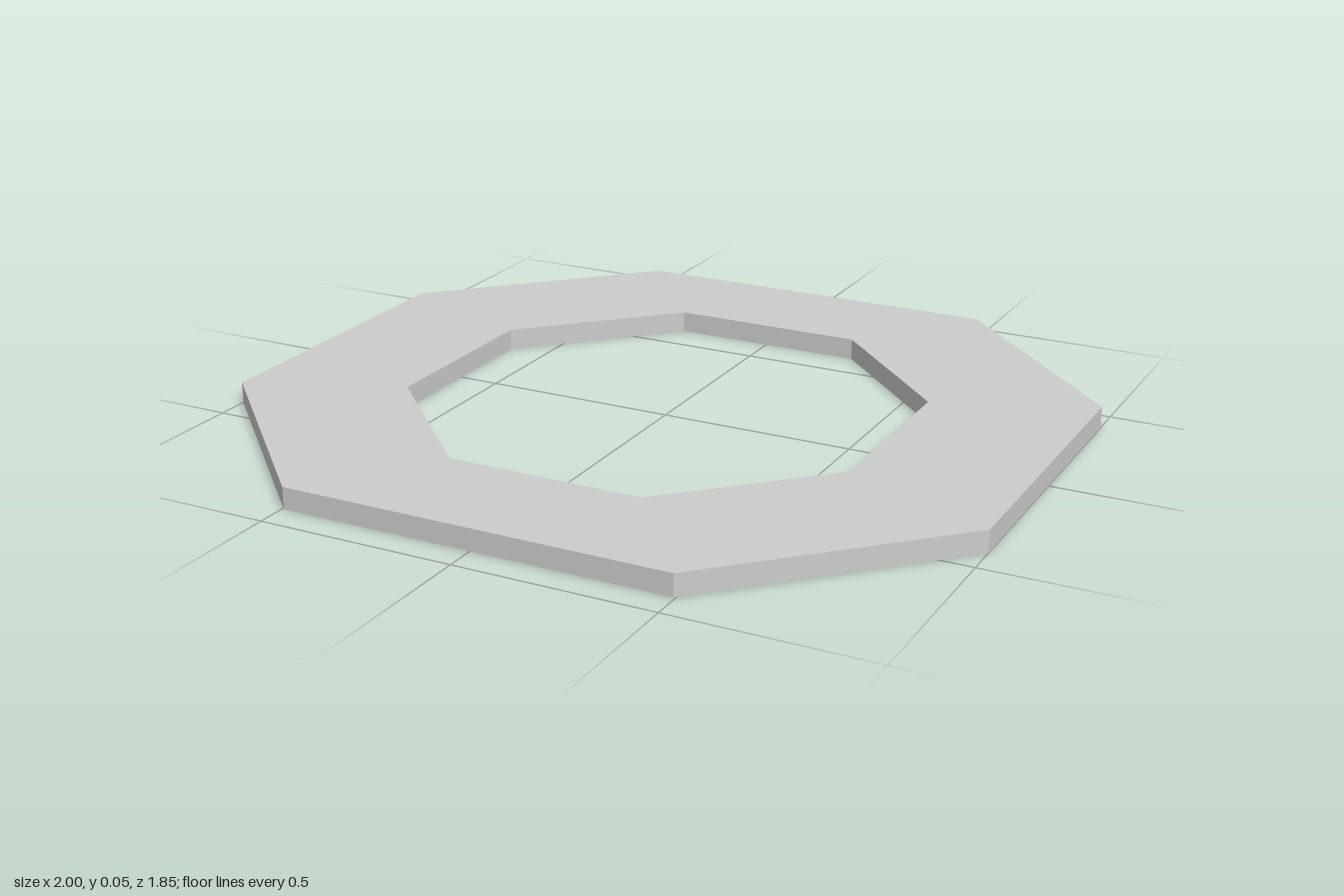
import * as THREE from 'three';

const HEIGHT = 0.055;

// Corners of a rectangle (half sizes w, d) with chamfered corners;
// cw and cd are the half lengths of the straight sides.
function octagon(w, d, cw, cd) {
  return [
    [w, -cd], [w, cd], [cw, d], [-cw, d],
    [-w, cd], [-w, -cd], [-cw, -d], [cw, -d],
  ].map(([x, y]) => new THREE.Vector2(x, y));
}

export function createModel() {
  const model = new THREE.Group();
  model.name = 'octagonalFrame';

  // Flat octagonal plate with an octagonal opening
  const outline = new THREE.Shape(octagon(1, 0.923, 0.495, 0.416));
  outline.holes.push(new THREE.Path(octagon(0.605, 0.605, 0.253, 0.253).reverse()));
  const geometry = new THREE.ExtrudeGeometry(outline, { depth: HEIGHT, bevelEnabled: false });
  geometry.rotateX(-Math.PI / 2); // lay flat, rising from y = 0

  const ring = new THREE.Mesh(
    geometry,
    new THREE.MeshStandardMaterial({ color: 0xcccccc, flatShading: true }),
  );
  ring.name = 'octagonalRing';
  model.add(ring);
  return model;
}
